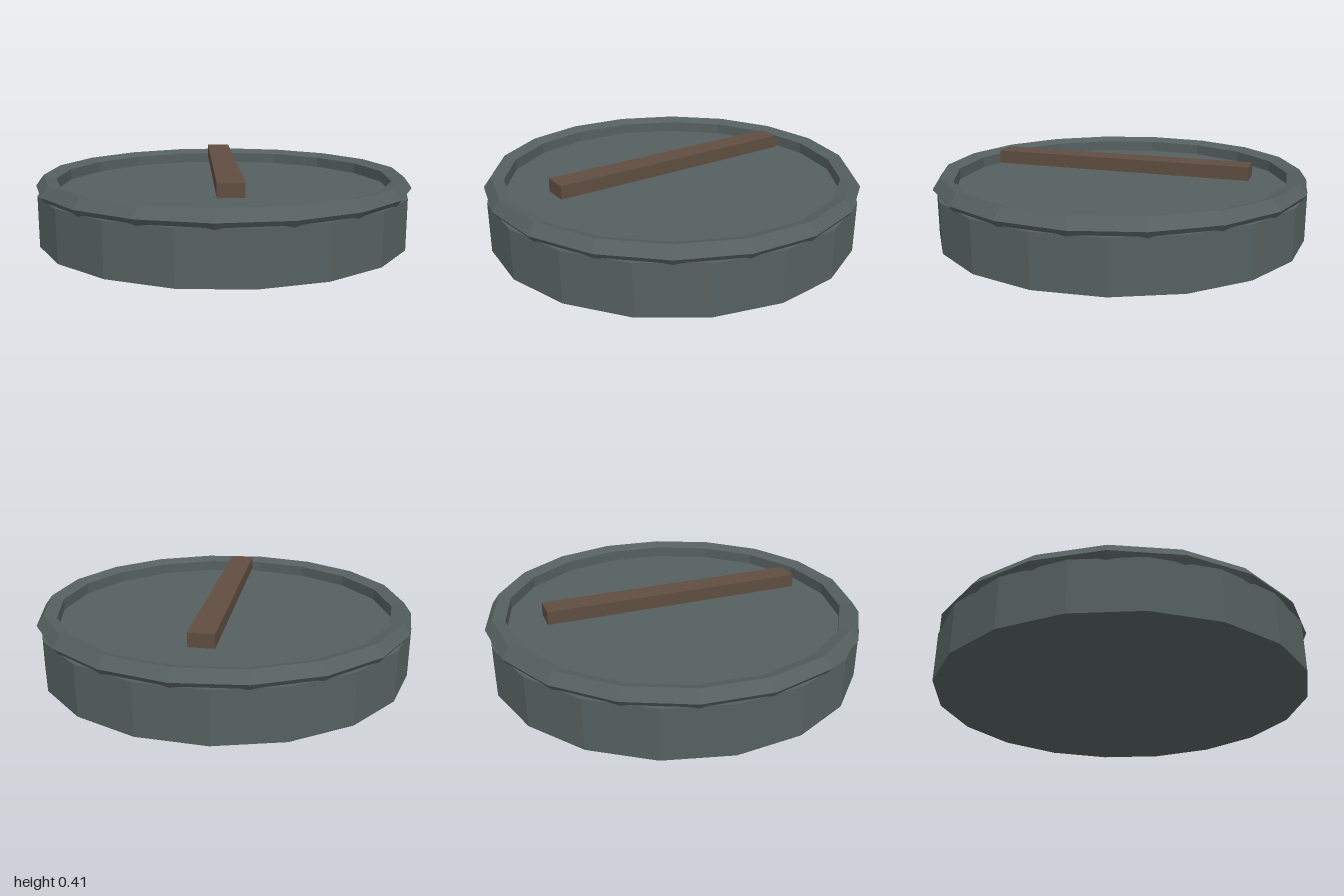
import * as THREE from 'three';

export function createModel() {
  const group = new THREE.Group();
  const slate = new THREE.MeshStandardMaterial({ color: 0x566060, flatShading: true });
  slate.name = 'slate';
  const wood = new THREE.MeshStandardMaterial({ color: 0x5f4d40, flatShading: true });
  wood.name = 'wood';

  const add = (name, geometry, material, y) => {
    const mesh = new THREE.Mesh(geometry, material);
    mesh.name = name;
    mesh.position.y = y;
    group.add(mesh);
    return mesh;
  };

  // Eighteen-sided drum, closed at both ends
  add('base', new THREE.CylinderGeometry(0.99, 0.99, 0.265, 18), slate, 0.1325);

  // Five-sided ring around the top edge
  add('rim', new THREE.TorusGeometry(0.942, 0.058, 5, 18).rotateX(Math.PI / 2), slate, 0.29);

  // Diagonal bar held just above the recessed top
  const bar = add('bar', new THREE.BoxGeometry(0.13, 0.07, 1.4), wood, 0.37);
  bar.rotation.y = THREE.MathUtils.degToRad(35);

  return group;
}
